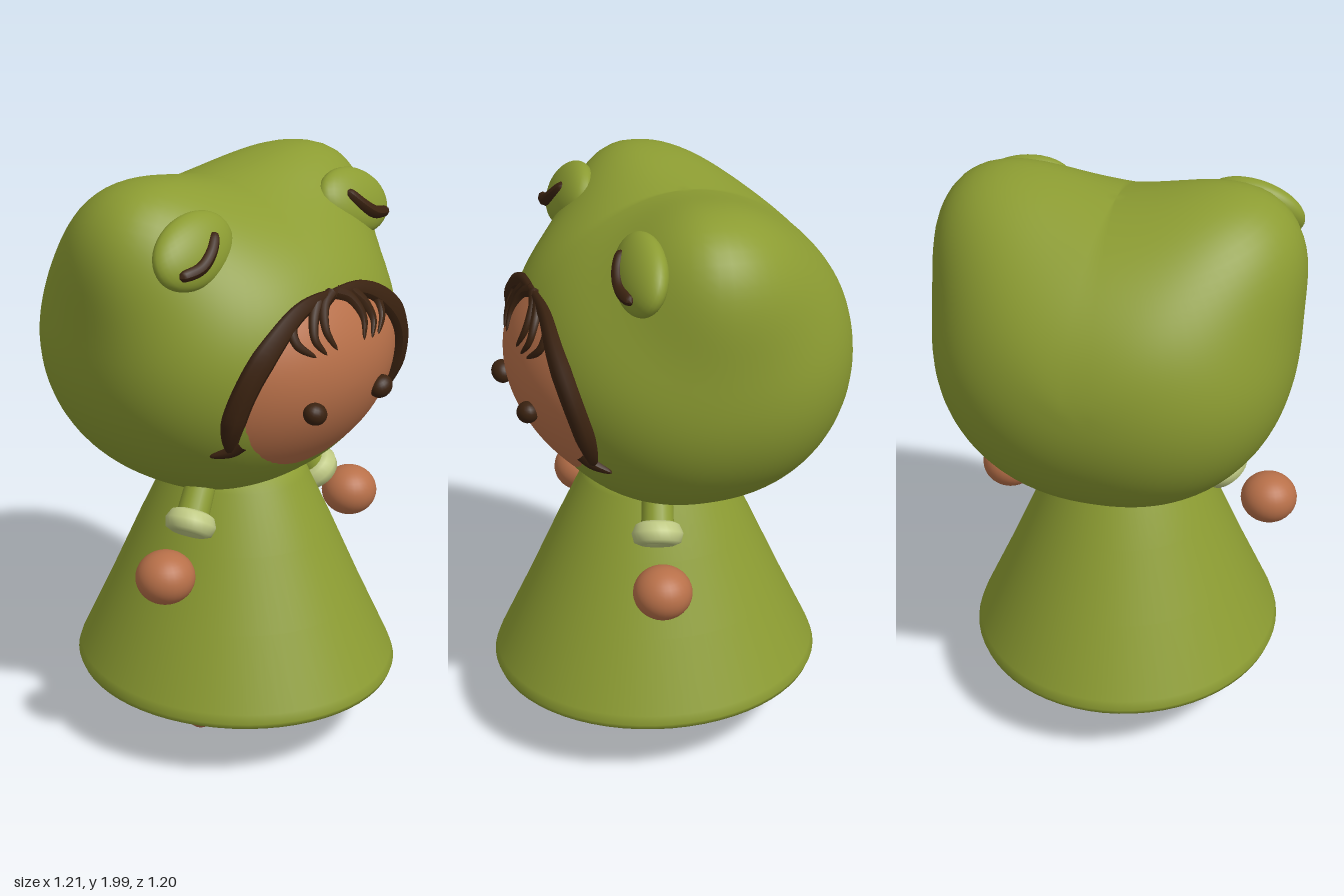
import * as THREE from 'three';
import { mergeVertices } from 'three/addons/utils/BufferGeometryUtils.js';

const V = (x, y, z) => new THREE.Vector3(x, y, z);
const profile = points => points.map(([r, y]) => new THREE.Vector2(r, y));
const material = (name, color) => {
  const m = new THREE.MeshStandardMaterial({ color });
  m.name = name;
  return m;
};

// Hood dimensions and the outline of the face opening
const HOOD = { y: 1.42, z: -0.07, rx: 0.588, up: 0.505, down: 0.538, front: 0.565, back: 0.53, n: 2.3 };
const FACE = { y: 1.355, rx: 0.385, ry: 0.305 };

// Forward surface of the hood, and of the face bulging out of it
function hoodZ(x, y) {
  const dy = y - HOOD.y, v = dy / (dy > 0 ? HOOD.up : HOOD.down);
  const s = Math.pow(Math.max(0, 1 - v * v), HOOD.n / 2) - Math.pow(Math.abs(x) / HOOD.rx, HOOD.n);
  return HOOD.z + HOOD.front * Math.pow(Math.max(0, s), 1 / HOOD.n);
}
function faceZ(x, y) {
  const r2 = (x / FACE.rx) ** 2 + ((y - FACE.y) / FACE.ry) ** 2;
  return hoodZ(x, y) + 0.036 * (1 - r2) - 0.003;
}
const onHead = (x, y, lift = 0) => V(x, y, Math.max(hoodZ(x, y), faceZ(x, y)) + lift);

// Move every vertex by a rule, then rebuild seam-free smooth normals
function reshape(source, rule) {
  source.deleteAttribute('uv');
  source.deleteAttribute('normal');
  const p = source.attributes.position, d = V(0, 0, 0);
  for (let i = 0; i < p.count; i++) {
    d.fromBufferAttribute(p, i);
    rule(d);
    p.setXYZ(i, d.x, d.y, d.z);
  }
  const g = mergeVertices(source, 1e-5);
  g.computeVertexNormals();
  return g;
}

// Tube whose radius varies along its length, flattened in depth
function strandGeometry(points, radius, flat = 0.7, segs = 24) {
  const curve = new THREE.CatmullRomCurve3(points);
  const sides = 8, g = new THREE.TubeGeometry(curve, segs, 1, sides);
  const p = g.attributes.position, v = V(0, 0, 0);
  for (let i = 0; i <= segs; i++) {
    const c = curve.getPointAt(i / segs), r = radius(i / segs);
    for (let j = 0; j <= sides; j++) {
      const k = i * (sides + 1) + j;
      v.fromBufferAttribute(p, k).sub(c).multiplyScalar(r);
      p.setXYZ(k, c.x + v.x, c.y + v.y, c.z + v.z * flat);
    }
  }
  g.computeVertexNormals();
  return g;
}

export function createModel() {
  const green = material('hood green', 0x8c9c32);
  const pale = material('cuff pale green', 0xc0ca84);
  const skin = material('skin', 0xb87049);
  const brown = material('dark brown', 0x3a2210);

  const model = new THREE.Group();
  model.name = 'hoodedDoll';
  const head = new THREE.Group(), body = new THREE.Group();
  head.name = 'head';
  body.name = 'body';
  body.position.x = -0.02;
  model.add(head, body);
  const add = (parent, name, geometry, mat, x = 0, y = 0, z = 0) => {
    const m = new THREE.Mesh(geometry, mat);
    m.name = name;
    m.position.set(x, y, z);
    parent.add(m);
    return m;
  };

  // Hood: boxy ellipsoid with two raised corners
  add(head, 'hood', reshape(new THREE.SphereGeometry(1, 80, 60), d => {
    const ring = Math.pow(Math.abs(d.x), HOOD.n) + Math.pow(Math.abs(d.z), HOOD.n);
    const f = 1 / Math.sqrt(Math.pow(ring, 2 / HOOD.n) + d.y * d.y);
    const deg = Math.atan2(d.y, Math.abs(d.x)) * 180 / Math.PI - 51;
    const a = deg / (deg < 0 ? 19 : 17);
    const b = (d.z - 0.08) / (d.z > 0.08 ? 0.25 : 0.36);
    const s = f * (1 + 0.345 * Math.exp(-0.5 * (a * a + b * b)));
    d.set(d.x * s * HOOD.rx,
      HOOD.y + d.y * s * (d.y > 0 ? HOOD.up : HOOD.down),
      HOOD.z + d.z * s * (d.z > 0 ? HOOD.front : HOOD.back));
  }), green);

  // Face: oval patch bulging out of the hood
  add(head, 'face', reshape(new THREE.RingGeometry(0, 1, 64, 18), d => {
    const x = d.x * FACE.rx, y = FACE.y + d.y * FACE.ry;
    d.set(x, y, faceZ(x, y));
  }), skin);

  // Hair framing the face
  const half = [[0.15, 1.628], [0.27, 1.55], [0.355, 1.44], [0.387, 1.32], [0.375, 1.23], [0.35, 1.18]];
  const arc = [...half.map(([x, y]) => [-x, y]).reverse(), [0, 1.647], ...half];
  add(head, 'hairFrame', strandGeometry(arc.map(([x, y]) => onHead(x - 0.01, y, 0.005)), t => {
    const u = Math.abs(t - 0.5) * 2;
    return u > 0.8 ? 0.048 * Math.sqrt(Math.max(0, (1 - u) / 0.2)) : 0.018 + 0.03 * Math.min(1, u / 0.5);
  }, 0.7, 64), brown);

  const bangs = [
    [[0.01, 1.65], [0.06, 1.625], [0.09, 1.56], [0.065, 1.495]],
    [[0.08, 1.64], [0.125, 1.59], [0.14, 1.54], [0.11, 1.49]],
    [[0.14, 1.63], [0.2, 1.59], [0.205, 1.54], [0.15, 1.49]],
  ];
  for (const s of [-1, 1]) {
    for (const b of bangs)
      add(head, 'bangStrand', strandGeometry(b.map(([x, y]) => onHead(s * x - 0.01, y, 0.004)),
        t => 0.025 * Math.sqrt(Math.max(0, 1 - t))), brown);
    add(head, 'hairFlick', strandGeometry(
      [[0.35, 1.23], [0.365, 1.2], [0.405, 1.175]].map(([x, y]) => onHead(s * x - 0.01, y, 0.01)),
      t => 0.026 * Math.sqrt(Math.max(0, 1 - t)), 1), brown);

    // Face eyes
    const eye = add(head, 'eye', new THREE.SphereGeometry(1, 20, 14), brown, s * 0.165 - 0.01, 1.31, 0.51);
    eye.scale.set(0.043, 0.036, 0.036);
    eye.rotation.z = s * 0.4;

    // Sleepy eyes on the hood corners
    const lid = add(head, 'hoodEye', new THREE.SphereGeometry(1, 32, 20), green, s * 0.385 - 0.01, 1.825, 0.2);
    lid.scale.set(0.165, 0.112, 0.062);
    lid.rotation.set(-0.42, s * 0.08, -s * 0.27);
    const line = [[0.5, 1.78, 0.262], [0.42, 1.795, 0.274], [0.365, 1.83, 0.264], [0.315, 1.88, 0.235]];
    add(head, 'hoodEyeLine', strandGeometry(line.map(([x, y, z]) => V(s * x - 0.02, y, z)),
      t => 0.021 * Math.pow(Math.max(0, 1 - (2 * t - 1) ** 8), 0.5), 0.9), brown);

    // Arm, cuff and hand
    const from = V(s * 0.22, 1.0, 0.09), to = V(s * 0.312, 0.868, 0.12);
    const axis = to.clone().sub(from);
    const mid = from.clone().add(to).multiplyScalar(0.5);
    const arm = add(body, 'arm', new THREE.CylinderGeometry(0.055, 0.05, axis.length(), 20), green, mid.x, mid.y, mid.z);
    const turn = new THREE.Quaternion().setFromUnitVectors(V(0, 1, 0), axis.clone().normalize());
    arm.quaternion.copy(turn);
    const cuffProfile = profile([[0, -0.03], [0.045, -0.042], [0.072, -0.03], [0.086, 0], [0.078, 0.03],
      [0.055, 0.04], [0.03, 0.022], [0, 0.015]]);
    const cuff = add(body, 'cuff', new THREE.LatheGeometry(cuffProfile, 28), pale, to.x, to.y, to.z);
    cuff.quaternion.copy(turn);
    const hand = add(body, 'hand', new THREE.SphereGeometry(1, 28, 20), skin, s * 0.47, 0.74, 0.155);
    hand.scale.set(0.098, 0.088, 0.097);

    // Leg with rounded foot
    const legProfile = profile([[0, 0.005], [0.03, 0.012], [0.055, 0.035], [0.072, 0.08], [0.088, 0.15],
      [0.097, 0.23], [0.097, 0.3]]);
    add(body, 'leg', new THREE.LatheGeometry(legProfile, 28), skin, s * 0.175, 0, 0.03);
  }

  // Bell-shaped dress with a rolled hem and closed underside
  const dressProfile = profile([[0, 0.22], [0.25, 0.22], [0.47, 0.22], [0.505, 0.224], [0.528, 0.236],
    [0.535, 0.255], [0.525, 0.285], [0.42, 0.52], [0.32, 0.755], [0.235, 0.945], [0.212, 0.978],
    [0.17, 0.993], [0.1, 1.0], [0, 1.0]]);
  const dress = add(body, 'dress', new THREE.LatheGeometry(dressProfile, 64), green, 0.005, 0, 0.03);
  dress.scale.z = 1.065;

  return model;
}
